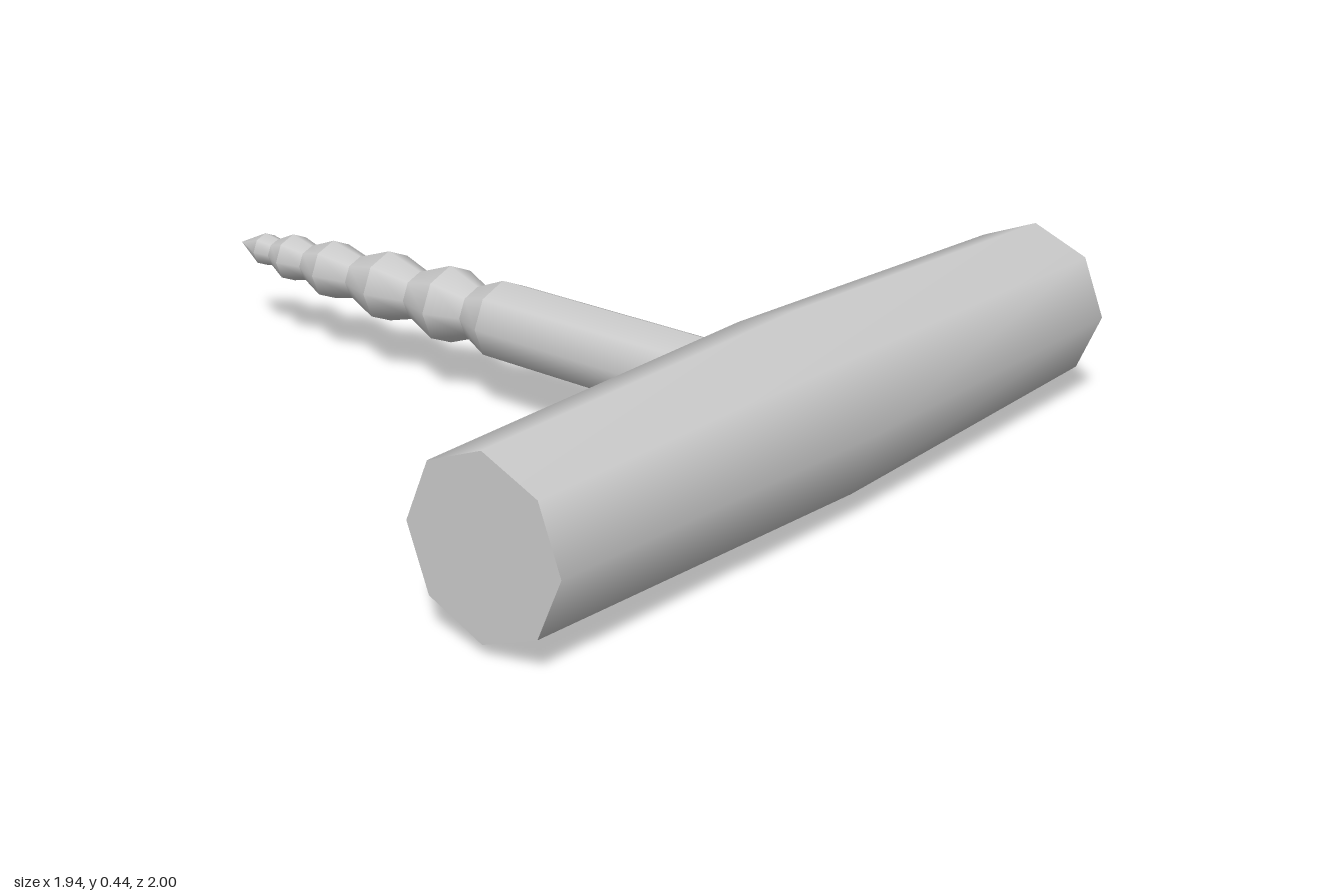
import * as THREE from 'three';

export function createModel() {
  const group = new THREE.Group();
  const steel = new THREE.MeshStandardMaterial({ color: 0xcccccc });
  steel.name = 'plain grey';
  const axisY = 0.222, handleZ = 0.78, sides = 8;

  const add = (parent, geometry, name) => {
    const mesh = new THREE.Mesh(geometry, steel);
    mesh.name = name;
    parent.add(mesh);
    return mesh;
  };

  // Crossbar handle: eight sides, widest in the middle
  const halfLength = 0.97, endRadius = 0.195, midRadius = 0.22;
  const handle = new THREE.Group();
  handle.name = 'handle';
  handle.position.set(0, axisY, handleZ);
  handle.rotation.z = Math.PI / 2;
  group.add(handle);
  const outline = [[endRadius, -halfLength], [midRadius, 0], [endRadius, halfLength]];
  add(handle, new THREE.LatheGeometry(outline.map(p => new THREE.Vector2(...p)), sides), 'handleGrip');
  for (const s of [-1, 1]) {
    const cap = new THREE.CircleGeometry(endRadius, sides);
    cap.rotateX(-s * Math.PI / 2);
    add(handle, cap, 'handleEnd').position.y = s * halfLength;
  }

  // Shank and tapering ridged bit: [z, radius] rings, creased between sections
  const rings = [
    [handleZ, 0.0975], [-0.065, 0.0975], [-0.147, 0.064], [-0.237, 0.0975],
    [-0.34, 0.06], [-0.447, 0.09], [-0.55, 0.054], [-0.647, 0.076],
    [-0.728, 0.045], [-0.797, 0.062], [-0.857, 0.036], [-0.905, 0.043], [-1, 0],
  ];
  const bit = new THREE.Group();
  bit.name = 'bit';
  bit.position.y = axisY;
  group.add(bit);
  for (let i = 0; i < rings.length - 1; i++) {
    const [z0, r0] = rings[i], [z1, r1] = rings[i + 1];
    const section = new THREE.CylinderGeometry(r1, r0, z0 - z1, sides, 1, true);
    section.rotateX(-Math.PI / 2);
    const name = i === 0 ? 'shank' : i === rings.length - 2 ? 'tip' : 'ridge';
    add(bit, section, name).position.z = (z0 + z1) / 2;
  }
  return group;
}
